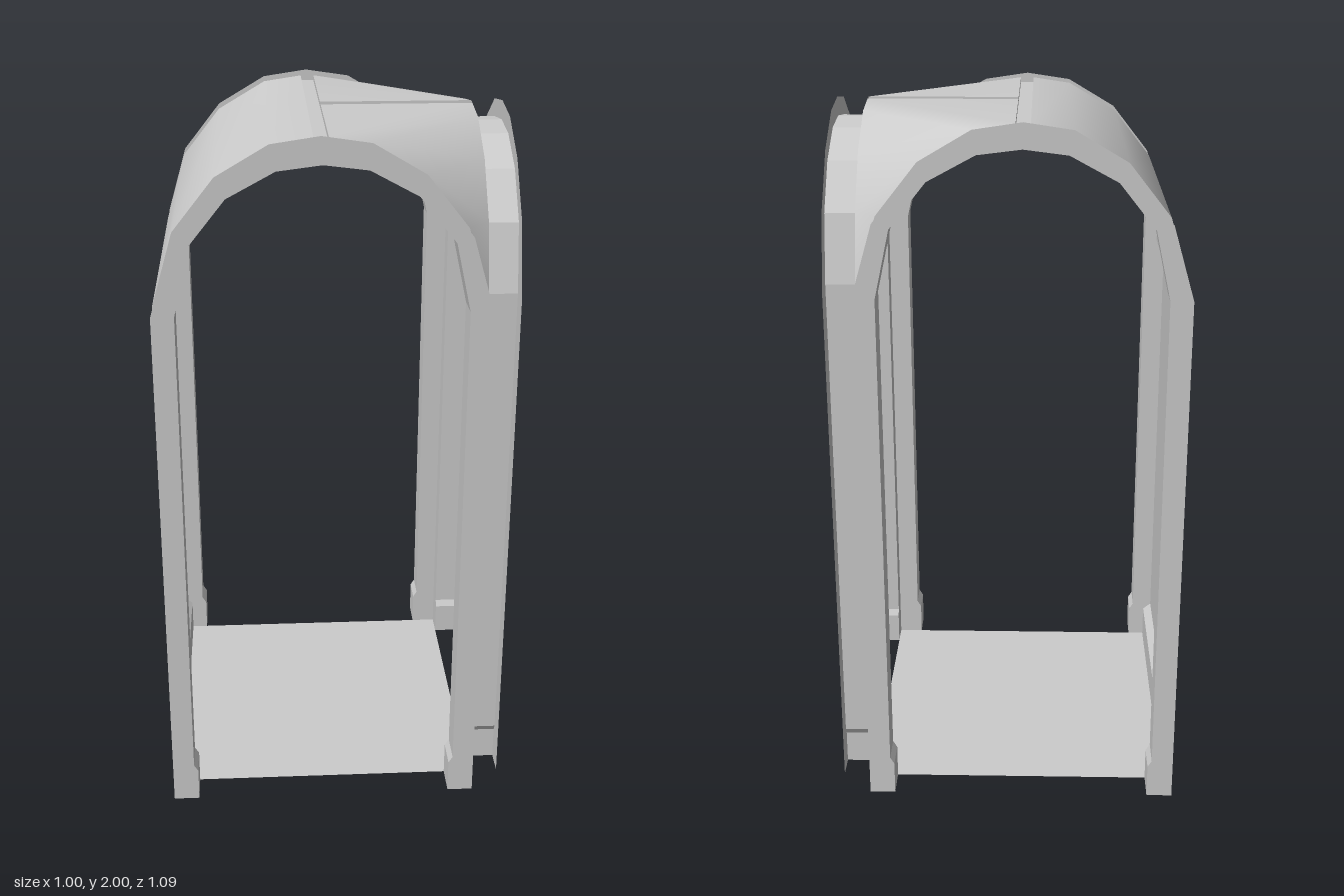
import * as THREE from 'three';

const R = 0.455;      // half width of the vaulted room
const REACH = 0.545;  // outer face of each archway
const SPRING = 1.545; // height where the arches begin
const RIB = 0.02;     // half width of the roof ribs
const RIB_TOP = 1.997;

const smooth = new THREE.MeshStandardMaterial({ color: 0xcccccc, side: THREE.DoubleSide });
const flat = new THREE.MeshStandardMaterial({ color: 0xcccccc, side: THREE.DoubleSide, flatShading: true });

// Half of the arch curves, [distance from the middle, height], springing to crown
const outerArc = [[R, SPRING], [0.395, 1.75], [0.28, 1.895], [0.135, 1.98]];
const innerHalf = [[0.38, 0], [0.38, 0.1], [0.392, 0.12], [0.392, SPRING], [0.35, 1.735], [0.25, 1.86], [0.12, 1.93]];

// Full arch from one foot over the crown to the other foot
const fullArch = (half, crown) => [...half, [0, crown], ...half.map(([u, y]) => [-u, y]).reverse()];
const outer = fullArch([[R, 0], ...outerArc], 2);
const inner = fullArch(innerHalf, 1.945);

// Ruled sheet between two paths with equal numbers of points
function sheet(name, a, b, material) {
  const positions = [], index = [];
  a.forEach((p, i) => {
    positions.push(...p, ...b[i]);
    const k = i * 2;
    if (i) index.push(k - 2, k - 1, k, k - 1, k + 1, k);
  });
  const g = new THREE.BufferGeometry();
  g.setAttribute('position', new THREE.Float32BufferAttribute(positions, 3));
  g.setIndex(index);
  g.computeVertexNormals();
  const mesh = new THREE.Mesh(g, material);
  mesh.name = name;
  return mesh;
}

// Sheet swept along z from a profile of [x, y] points
const sweep = (name, profile, z0, z1, material) => sheet(name,
  profile.map(([x, y]) => [x, y, z0]), profile.map(([x, y]) => [x, y, z1]), material);

// Archway facing +z: two flat rings joined by the inner reveal
function archway(name, angle) {
  const group = new THREE.Group();
  group.name = name;
  const outline = [...outer, ...[...inner].reverse()].map(([x, y]) => new THREE.Vector2(x, y));
  const ring = new THREE.ShapeGeometry(new THREE.Shape(outline));
  for (const [ringName, z] of [['innerFlange', R], ['outerFlange', REACH]]) {
    const mesh = new THREE.Mesh(ring, flat);
    mesh.name = ringName;
    mesh.position.z = z;
    group.add(mesh);
  }
  group.add(sweep('reveal', inner, R, REACH, flat));
  group.rotation.y = angle;
  return group;
}

export function createModel() {
  const model = new THREE.Group();
  model.name = 'vaultedCorridorJunction';
  const room = new THREE.Group();
  room.name = 'room';
  room.position.x = R - 0.5;
  model.add(room);

  // Three openings
  room.add(archway('frontArchway', 0), archway('sideArchway', Math.PI / 2), archway('backArchway', Math.PI));

  // Floor
  const floor = new THREE.Mesh(new THREE.PlaneGeometry(2 * R, 2 * R), flat);
  floor.name = 'floor';
  floor.rotation.x = -Math.PI / 2;
  room.add(floor);

  // Closed side: skirting, wall panel and rail, the skirting and rail set inwards
  const inset = 0.43;
  room.add(
    sweep('skirting', [[-inset, 0], [-inset, 0.1], [-R, 0.12]], -R, R, flat),
    sweep('wall', [[-R, 0.12], [-R, 1.46]], -R, R, flat),
    sweep('rail', [[-R, 1.46], [-inset, 1.47], [-inset, 1.538], [-R, SPRING]], -R, R, flat));

  // Half barrel vault over the closed side
  const vault = [...outerArc, [RIB, RIB_TOP]];
  room.add(sweep('barrelVault', vault.map(([u, y]) => [-u, y]), -R, R, smooth));

  // Corner sails: straight lines join equal heights on neighbouring arches
  for (const s of [1, -1]) {
    const a = vault.map(([u, y]) => [u, y, s * R]);
    const b = vault.map(([u, y]) => [R, y, s * u]);
    a.push([RIB, RIB_TOP, s * RIB]);
    b.push([RIB, RIB_TOP, s * RIB]);
    room.add(sheet(s > 0 ? 'frontCornerVault' : 'backCornerVault', a, b, smooth));
  }

  // Roof ribs, sunk channels along the crown and towards the side archway
  const channel = [[-RIB, RIB_TOP], [-RIB, 1.982], [RIB, 1.982], [RIB, RIB_TOP]];
  const sideRib = sweep('sideRib', channel, RIB, R, flat);
  sideRib.rotation.y = Math.PI / 2;
  room.add(sweep('crownRib', channel, -R, R, flat), sideRib);

  return model;
}
